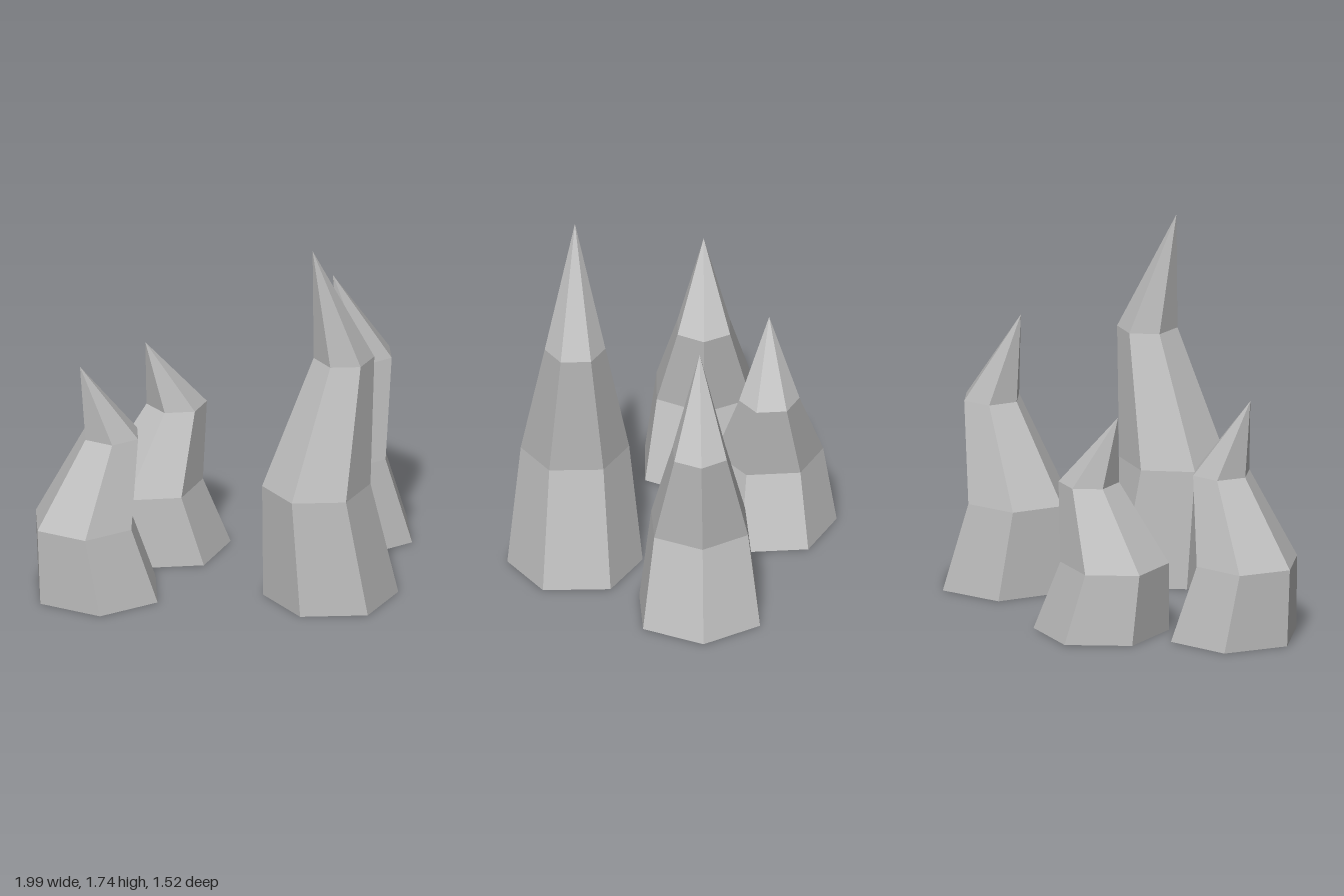
import * as THREE from 'three';

// Cross-sections from the ground to the tip: radius, share of height, sideways lean
const RADII = [0.312, 0.25, 0.14, 0];
const LEVELS = [0, 0.323, 0.672, 1];
const LEANS = [0, -0.078, 0.072, -0.098];

// Crooked six-sided spike; turn is the angle of its first corner in degrees
function spikeGeometry(height, turn) {
  const geometry = new THREE.ConeGeometry(1, 1, 6, 3, false, THREE.MathUtils.degToRad(30 - turn));
  const p = geometry.attributes.position;
  for (let i = 0; i < p.count; i++) {
    const row = Math.round((p.getY(i) + 0.5) * 3);
    const scale = row < 3 ? RADII[row] / (1 - row / 3) : 0;
    p.setXYZ(i, p.getX(i) * scale + LEANS[row], LEVELS[row] * height, p.getZ(i) * scale);
  }
  geometry.computeVertexNormals();
  return geometry;
}

export function createModel() {
  const group = new THREE.Group();
  group.name = 'spikeCluster';
  const stone = new THREE.MeshStandardMaterial({ color: 0xc0c0c0, flatShading: true });
  stone.name = 'paleGreyStone';

  // name, x, z, height, turn
  const spikes = [
    ['rightSpike', -0.67, -0.15, 1.14, 0],
    ['frontTallSpike', 0.222, 0.446, 1.735, 28.5],
    ['leftSpike', 0.685, -0.127, 1.305, -3],
    ['backSpike', -0.131, -0.45, 1.033, 25],
  ];
  for (const [name, x, z, height, turn] of spikes) {
    const spike = new THREE.Mesh(spikeGeometry(height, turn), stone);
    spike.name = name;
    spike.position.set(x, 0, z);
    group.add(spike);
  }
  return group;
}
